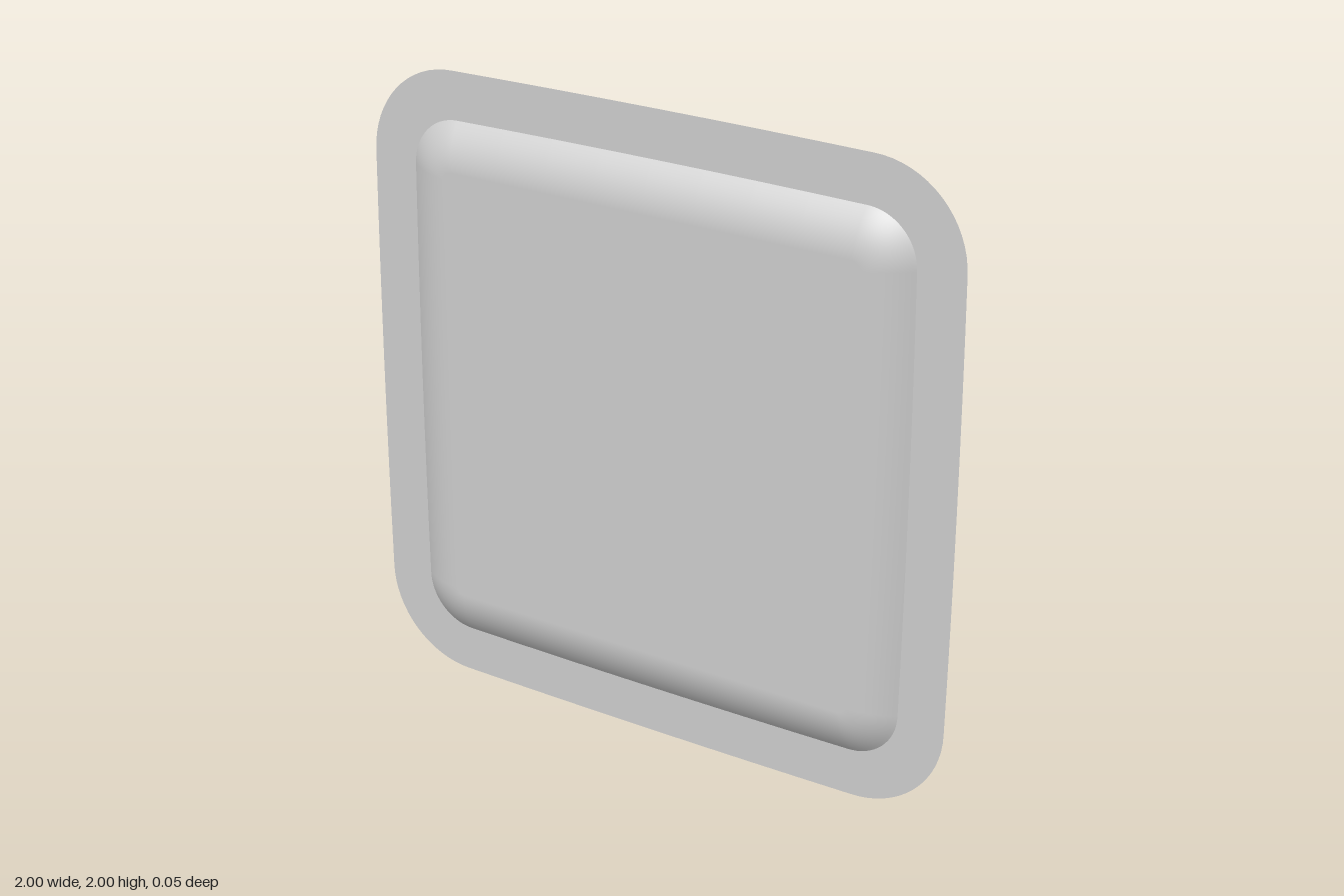
import * as THREE from 'three';

const BACK = -0.0275, DEPTH = 0.055, CENTRE_Y = 1;

// Rounded square with slightly bowed sides, counter-clockwise, as Vector2 points
function outline(half, radius, bow) {
  const points = [];
  const edge = half - bow, straight = edge - radius;
  const cornerSteps = 16, sideSteps = 8;
  for (let side = 0; side < 4; side++) {
    const turn = side * Math.PI / 2;
    const add = (x, y) => points.push(new THREE.Vector2(x, y).rotateAround(new THREE.Vector2(), turn));
    for (let i = 0; i < sideSteps; i++) {
      const t = -1 + 2 * i / sideSteps;
      add(edge + bow * (1 - t * t), straight * t);
    }
    for (let i = 0; i < cornerSteps; i++) {
      const a = i / cornerSteps * Math.PI / 2;
      add(straight + radius * Math.cos(a), straight + radius * Math.sin(a));
    }
  }
  return points;
}

// Raised panel: outlines stacked along a curve that flattens into the face
function panelGeometry() {
  const positions = [], index = [], rings = 14;
  let n = 0;
  for (let k = 0; k <= rings; k++) {
    const t = k / rings;
    const ring = outline(0.85 - 0.15 * t, 0.16 - 0.135 * t, 0.005 * (1 - t));
    const z = BACK + DEPTH * (1 - (1 - t) ** 2);
    n = ring.length;
    for (const p of ring) positions.push(p.x, p.y, z);
  }
  for (let k = 0; k < rings; k++) {
    for (let i = 0; i < n; i++) {
      const j = (i + 1) % n;
      const a = k * n + i, b = k * n + j;
      index.push(a, b, b + n, a, b + n, a + n);
    }
  }
  // flat face
  const centre = positions.length / 3;
  positions.push(0, 0, BACK + DEPTH);
  for (let i = 0; i < n; i++) index.push(rings * n + i, rings * n + (i + 1) % n, centre);

  const geometry = new THREE.BufferGeometry();
  geometry.setAttribute('position', new THREE.Float32BufferAttribute(positions, 3));
  geometry.setIndex(index);
  geometry.computeVertexNormals();
  return geometry;
}

export function createModel() {
  const model = new THREE.Group();
  model.name = 'raisedTile';

  // Paper-thin backing sheet
  const sheet = new THREE.Mesh(
    new THREE.ShapeGeometry(new THREE.Shape(outline(1, 0.295, 0.005))),
    new THREE.MeshStandardMaterial({ color: 0xcccccc, side: THREE.DoubleSide })
  );
  sheet.name = 'backingSheet';
  sheet.position.set(0, CENTRE_Y, BACK);

  // Pillowed panel on the front
  const panel = new THREE.Mesh(panelGeometry(), new THREE.MeshStandardMaterial({ color: 0xcccccc }));
  panel.name = 'raisedPanel';
  panel.position.y = CENTRE_Y;

  model.add(sheet, panel);
  return model;
}
